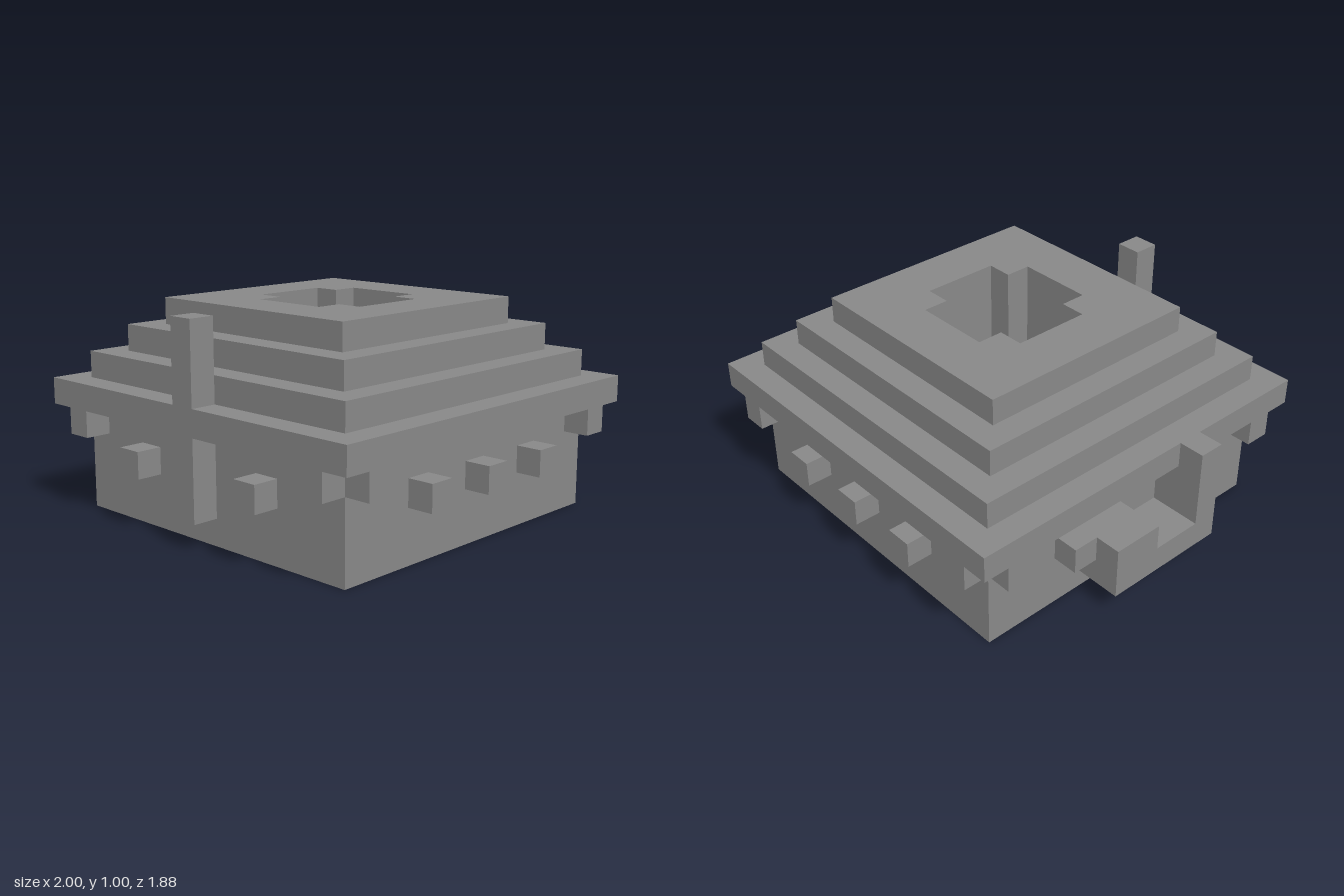
import * as THREE from 'three';

const U = 0.125; // one block
const CX = U / 2; // the house is centred half a block off x = 0

// Stair-stepped outline symmetric in both axes, from the corners of one quadrant (in blocks)
function steppedPath(quadrant) {
  const q = quadrant.map(([x, y]) => new THREE.Vector2(x * U, y * U));
  const pts = [];
  for (let i = 0; i < 4; i++) {
    for (const p of q) pts.push(p.clone().rotateAround(new THREE.Vector2(), i * Math.PI / 2));
  }
  return pts;
}

export function createModel() {
  const group = new THREE.Group();
  const stone = new THREE.MeshStandardMaterial({ color: 0x888888 });
  stone.name = 'grey stone';

  const add = (name, geometry) => {
    const mesh = new THREE.Mesh(geometry, stone);
    mesh.name = name;
    group.add(mesh);
    return mesh;
  };

  // Square layer with a hole, sizes in blocks
  const layer = (name, width, y, height, hole) => {
    const shape = new THREE.Shape(steppedPath([[width / 2, width / 2]]));
    shape.holes.push(new THREE.Path(steppedPath(hole)));
    const geo = new THREE.ExtrudeGeometry(shape, { depth: height * U, bevelEnabled: false });
    geo.rotateX(-Math.PI / 2);
    add(name, geo).position.set(CX, y * U, 0);
  };

  // Box from its lowest to its highest corner, in units
  const box = (name, x0, x1, y0, y1, z0, z1) => {
    add(name, new THREE.BoxGeometry(x1 - x0, y1 - y0, z1 - z0))
      .position.set((x0 + x1) / 2, (y0 + y1) / 2, (z0 + z1) / 2);
  };

  // Walls, eaves and stepped roof around the open shaft
  const recess = [[5.5, 5.5]];
  const wideShaft = [[3.5, 1.5], [2.5, 1.5], [2.5, 2.5], [1.5, 2.5], [1.5, 3.5]];
  const shaft = [[2.5, 1.5], [1.5, 1.5], [1.5, 2.5]];
  layer('baseFrame', 13, 0, 1, recess);
  layer('lowerWall', 13, 1, 1, wideShaft);
  layer('upperWall', 13, 2, 2, shaft);
  layer('eaves', 15, 4, 1, shaft);
  [13, 11, 9].forEach((w, i) => layer('roofStep' + (i + 1), w, 5 + i, 1, shaft));

  // Studs and corner brackets on each wall; the wall faces +z before turning
  const block = new THREE.BoxGeometry(U, U, U);
  ['front', 'left', 'back', 'right'].forEach((side, i) => {
    const wall = new THREE.Group();
    wall.name = side + 'WallDetails';
    wall.position.x = CX;
    wall.rotation.y = i * Math.PI / 2;
    const put = (name, x, y) => {
      const mesh = new THREE.Mesh(block, stone);
      mesh.name = name;
      mesh.position.set(x * U, y * U, 7 * U);
      wall.add(mesh);
    };
    for (const x of [-3, 0, 3]) {
      if (x === 0 && (side === 'front' || side === 'right')) continue;
      put('stud', x, 2.5);
    }
    for (const x of [-6, 6]) put('bracket', x, 3.5);
    group.add(wall);
  });

  // Post rising through the front eaves
  box('frontPost', 0, 0.125, 0.125, 1, 0.8125, 0.9375);

  // Stepped block and column on the -x wall
  box('sideBench', -1, -0.75, 0.125, 0.375, -0.3125, -0.0625);
  box('sideLedge', -1, -0.75, 0.125, 0.25, -0.0625, 0.1875);
  box('sideColumnFoot', -1, -0.75, 0.125, 0.5, 0.1875, 0.3125);
  box('sideColumnTop', -1, -0.875, 0.5, 0.625, 0.1875, 0.3125);

  return group;
}
